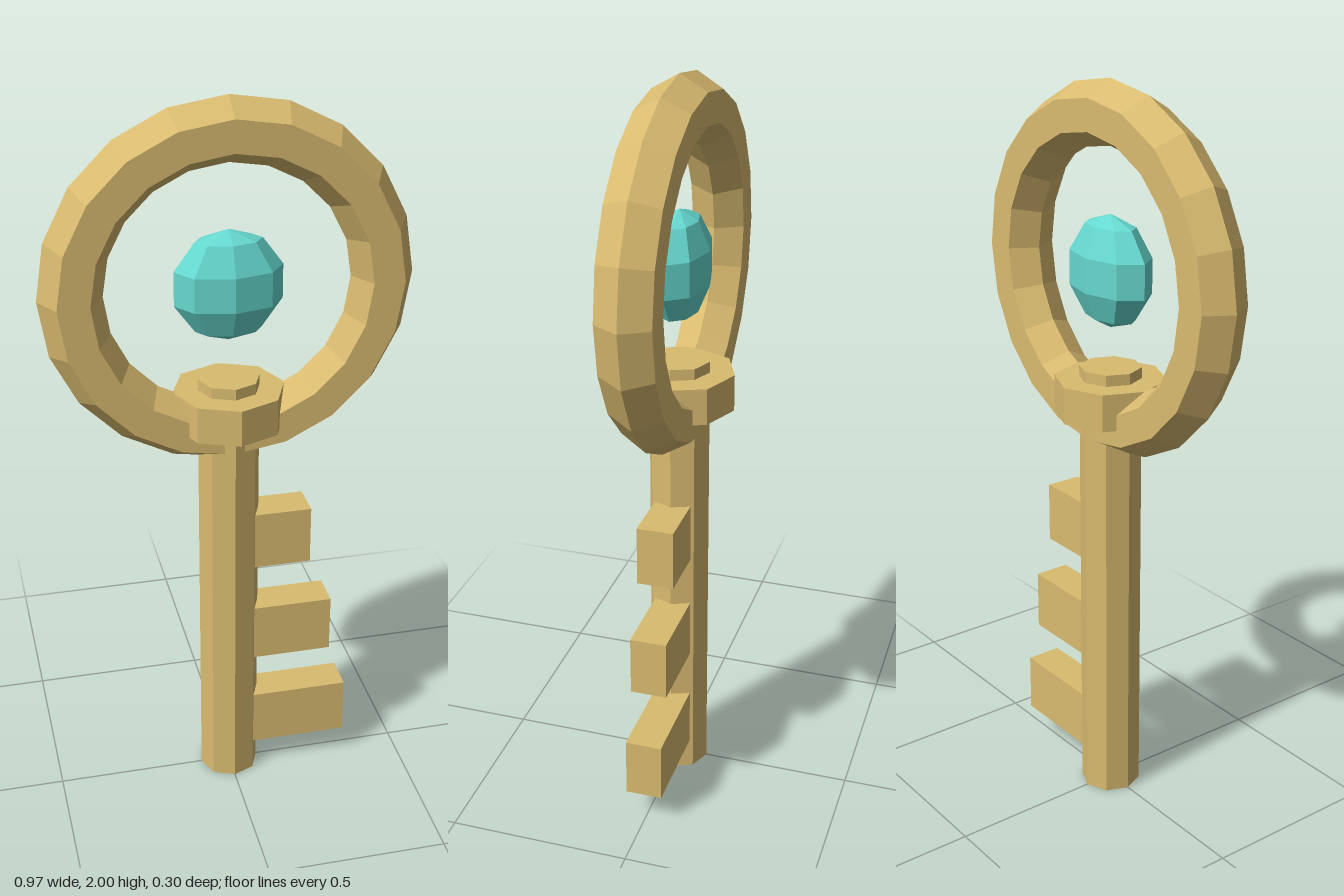
import * as THREE from 'three';

export function createModel() {
  const gold = new THREE.MeshStandardMaterial({ color: 0xd9bb70 });
  gold.name = 'gold';
  const teal = new THREE.MeshStandardMaterial({ color: 0x66d9d0 });
  teal.name = 'teal';
  gold.flatShading = teal.flatShading = true;

  const model = new THREE.Group();
  model.name = 'key';

  const add = (name, geometry, material, x, y) => {
    const mesh = new THREE.Mesh(geometry, material);
    mesh.name = name;
    mesh.position.set(x, y, 0);
    model.add(mesh);
    return mesh;
  };

  // Octagonal shaft, its tip poking out above the collar
  add('shaft', new THREE.CylinderGeometry(0.083, 0.083, 1.26, 8), gold, 0, 0.63);
  add('collar', new THREE.CylinderGeometry(0.15, 0.15, 0.1, 8), gold, 0, 1.18);

  // Ring handle with a hexagonal section
  const bowY = 1.513;
  add('bow', new THREE.TorusGeometry(0.404, 0.083, 6, 20), gold, 0, bowY);

  // Faceted gem floating in the ring, flattened front to back
  const gem = add('gem', new THREE.SphereGeometry(0.149, 8, 5), teal, 0, bowY + 0.002);
  gem.scale.z = 0.57;

  // Teeth on the left side, longest at the bottom
  const inner = 0.03;
  [[0.172, 0.335], [0.473, 0.285], [0.777, 0.22]].forEach(([y, outer], i) => {
    const length = outer - inner;
    add(`tooth${i + 1}`, new THREE.BoxGeometry(length, 0.166, 0.1), gold, inner + length / 2, y);
  });

  return model;
}
